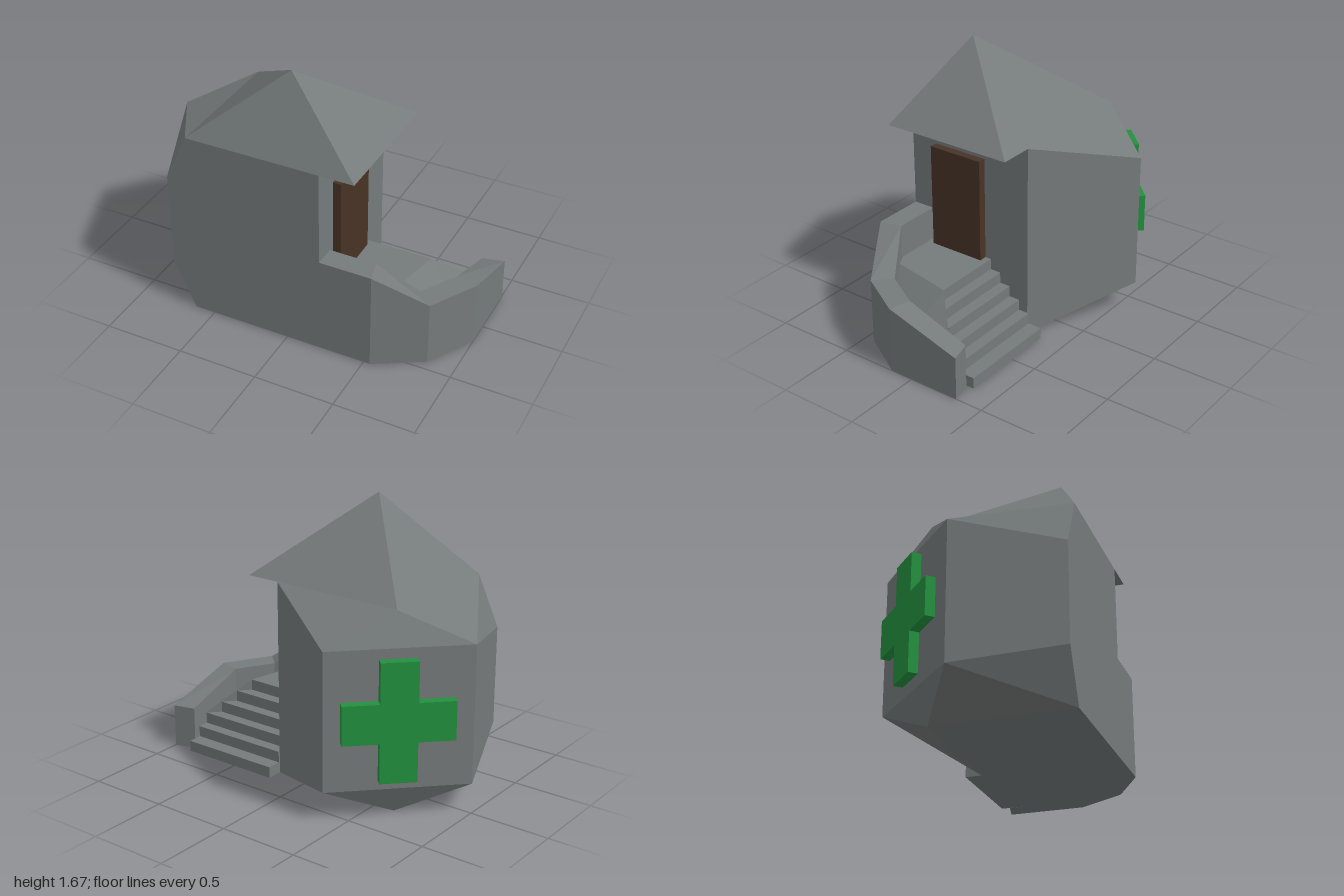
import * as THREE from 'three';
import { ConvexGeometry } from 'three/addons/geometries/ConvexGeometry.js';

export function createModel() {
  const model = new THREE.Group();
  model.name = 'stoneHut';

  const material = (name, color) => {
    const m = new THREE.MeshStandardMaterial({ color });
    m.name = name;
    return m;
  };
  const stone = material('stone', 0x757a7a);
  const wood = material('darkWood', 0x483326);
  const green = material('green', 0x23913f);

  const add = (name, geometry, mat, parent = model) => {
    const mesh = new THREE.Mesh(geometry, mat);
    mesh.name = name;
    parent.add(mesh);
    return mesh;
  };
  // Flat-faced solid around a few corner points
  const solid = (points) => new ConvexGeometry(points.map((p) => new THREE.Vector3(...p)));
  // Upright block over a convex plan of [x, z, topHeight]
  const block = (plan) => solid(plan.flatMap(([x, z, h]) => [[x, 0, z], [x, h, z]]));

  const EAVE = 1.215, FRONT = 0.605, BACK = -0.24, WALL = 0.215;

  // Faceted tower, its top and bottom mirrored about mid height
  const half = [
    [-0.63, EAVE, FRONT], [WALL, EAVE, FRONT], [WALL, EAVE, BACK], [-0.63, EAVE, BACK],
    [-1, 1.028, 0], [-0.4, 1.028, -0.61], [-0.77, 0.912, FRONT],
  ];
  add('tower', solid([...half, ...half.map(([x, y, z]) => [x, EAVE - y, z])]), stone);

  // Off-centre pyramid roof overhanging the door
  add('roof', solid([
    [-0.63, EAVE, FRONT], [0.43, EAVE, FRONT], [0.43, EAVE, BACK], [-0.63, EAVE, BACK],
    [-0.07, 1.675, 0.365],
  ]), stone);

  // Door
  const door = add('door', new THREE.BoxGeometry(0.06, 0.65, 0.36), wood);
  door.position.set(0.235, 0.74, 0.25);

  // Stairs climbing from the back, trimmed diagonally on the outer side
  const stairs = new THREE.Group();
  stairs.name = 'stairs';
  model.add(stairs);
  const LANDING = 0.415;
  const stepZ = [-0.34, -0.25, -0.18, -0.11, -0.04, 0.03];
  const edgeX = (z) => Math.min(0.862, 0.862 - (z + 0.18) * 0.962);
  for (let i = 0; i < 5; i++) {
    const z0 = stepZ[i], z1 = stepZ[i + 1], h = (LANDING * (i + 1)) / 6;
    add('step', block([[WALL, z0, h], [edgeX(z0), z0, h], [edgeX(z1), z1, h], [WALL, z1, h]]), stone, stairs);
  }
  add('landing', block([
    [WALL, 0.03, LANDING], [0.66, 0.03, LANDING], [0.58, 0.43, LANDING],
    [0.51, 0.47, LANDING], [WALL, 0.47, LANDING],
  ]), stone, stairs);

  // Sloped filler between the landing and the parapet
  add('landingSlope', block([
    [0.66, 0.03, LANDING], [0.58, 0.43, LANDING], [0.73, 0.34, 0.285],
    [0.865, 0.11, 0.2], [0.865, -0.18, 0.21],
  ]), stone, stairs);

  // Parapet curving round the stairs: outer x, z, inner x, z, height
  const parapet = new THREE.Group();
  parapet.name = 'parapet';
  model.add(parapet);
  const sections = [
    [WALL, FRONT, WALL, 0.47, 0.625],
    [0.54, FRONT, 0.51, 0.47, 0.625],
    [0.83, 0.437, 0.73, 0.34, 0.415],
    [1, 0.145, 0.865, 0.11, 0.415],
    [1, -0.325, 0.865, -0.29, 0.27],
  ];
  for (let i = 0; i < sections.length - 1; i++) {
    const plan = [sections[i], sections[i + 1]]
      .flatMap(([ox, oz, ix, iz, h]) => [[ox, oz, h], [ix, iz, h]]);
    add('parapetSegment', block(plan), stone, parapet);
  }

  // Plain green cross on the back left wall
  const a = 0.108, b = 0.118, w = 0.322, t = 0.36;
  const quarter = [[w, b], [a, b], [a, t]];
  const outline = [
    ...quarter,
    ...[...quarter].reverse().map(([x, y]) => [-x, y]),
    ...quarter.map(([x, y]) => [-x, -y]),
    ...[...quarter].reverse().map(([x, y]) => [x, -y]),
  ].map(([x, y]) => new THREE.Vector2(x, y));
  const cross = add('wallCross', new THREE.ExtrudeGeometry(new THREE.Shape(outline), {
    depth: 0.058, bevelEnabled: false,
  }), green);
  cross.position.set(-0.698, 0.61, -0.317);
  cross.rotation.y = -Math.PI * 0.75;

  return model;
}
